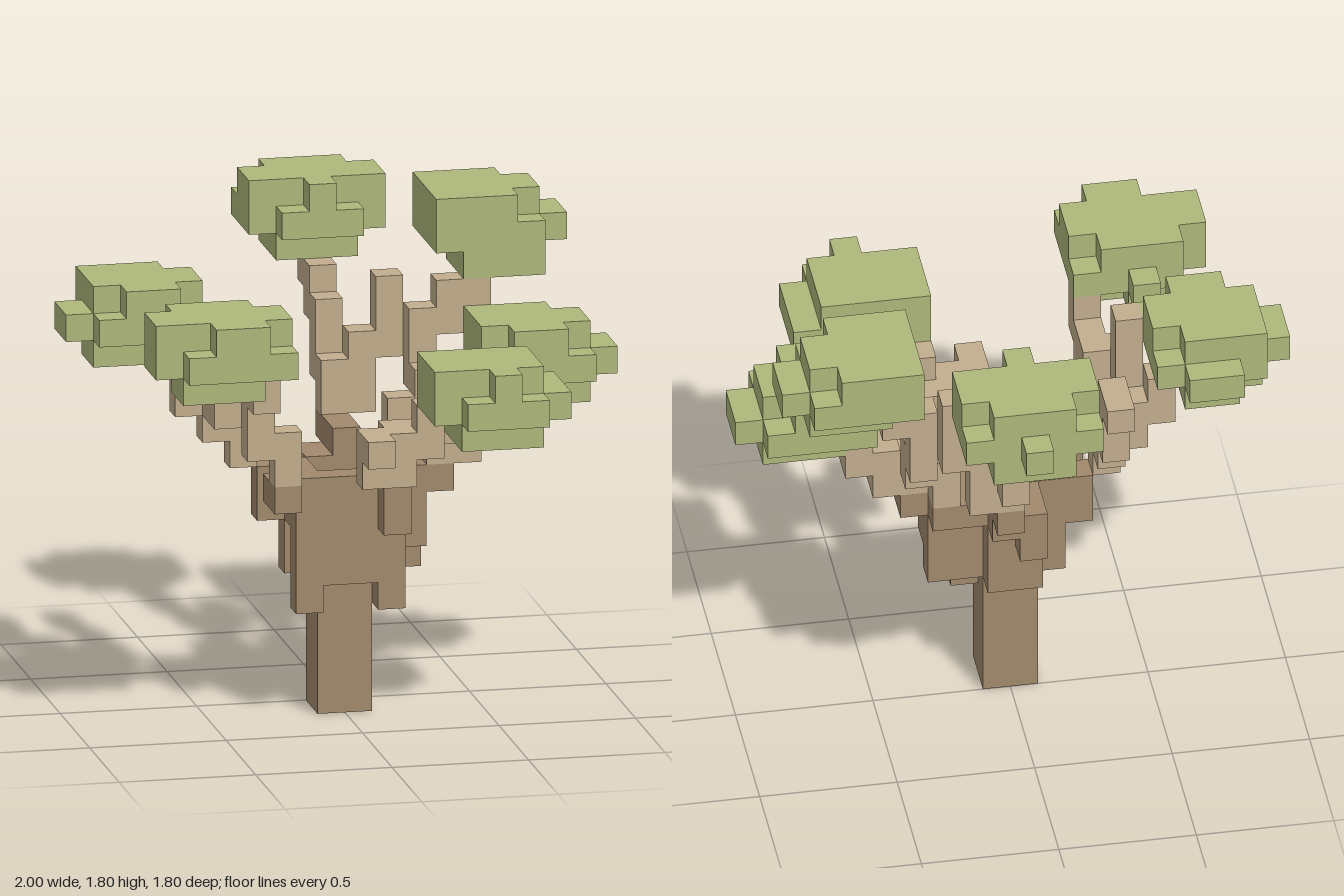
import * as THREE from 'three';

const U = 0.1; // edge length of one block

// Boxes are [x0, x1, y0, y1, z0, z1] in block units
const trunk = [
  [-1, 1, 0, 8, 0, 2],
  [-2, -1, 5, 9, 0, 1], [-2, -1, 7, 9, 1, 2], [-2, -1, 4, 9, 2, 3],
  [-1, 0, 5, 9, 2, 3], [0, 1, 5, 9, 2, 3],
  [1, 2, 4, 9, 1, 3], [1, 2, 5, 9, 0, 1], [2, 3, 5, 9, 0, 1], [2, 3, 6, 9, 1, 2],
  [-1, 1, 5, 9, -1, 0], [1, 3, 8, 9, -1, 0],
  [-1, 0, 7, 9, -2, -1], [0, 1, 8, 9, -2, -1], [0, 1, 9, 10, -3, 0],
  [-3, -2, 7, 9, 0, 1], [-3, -2, 8, 9, 2, 4], [1, 2, 7, 9, 3, 4], [3, 4, 8, 9, 0, 2],
];

const branches = {
  backBranch: [[0, 1, 10, 12, -3, -2], [0, 1, 11, 14, -4, -3], [0, 1, 13, 15, -5, -4], [0, 1, 14, 15, -6, -5]],
  backTwig: [[1, 2, 10, 13, -3, -2], [2, 3, 12, 15, -3, -2]],
  backLeftBranch: [[2, 3, 9, 11, -1, 0], [3, 4, 10, 12, -1, 0], [3, 4, 11, 14, -2, -1], [4, 5, 13, 15, -2, -1], [5, 6, 14, 15, -2, -1]],
  leftBranch: [[3, 4, 9, 10, 0, 2], [4, 5, 9, 11, 0, 2], [5, 6, 10, 12, 0, 2]],
  leftTwig: [[3, 4, 10, 12, 2, 3], [3, 4, 11, 13, 3, 4]],
  frontBranch: [[1, 2, 9, 11, 3, 4], [2, 3, 10, 11, 3, 4], [1, 3, 10, 11, 4, 5], [2, 3, 11, 12, 4, 5]],
  frontTwig: [[0, 1, 9, 11, 4, 5], [1, 2, 9, 10, 4, 5], [0, 1, 10, 11, 5, 6]],
  frontRightBranch: [[-3, -2, 9, 11, 3, 4], [-4, -3, 10, 13, 3, 4], [-4, -3, 12, 14, 4, 5]],
  rightBranch: [[-4, -3, 9, 11, 0, 1], [-5, -4, 10, 12, 0, 1], [-6, -5, 11, 13, 0, 1]],
  rightTwig: [[-5, -4, 11, 15, 1, 2], [-5, -4, 11, 13, 2, 3], [-4, -3, 11, 13, 2, 3]],
  backRightTwig: [[-4, -3, 10, 12, -1, 0], [-4, -3, 11, 14, -2, -1], [-4, -3, 13, 14, -3, -2]],
};

// Each crown: base height, then three layers of [x0, x1, z0, z1]
const crowns = {
  backLeaves: [15,
    [[-1, 2, -8, -5]],
    [[-2, 3, -8, -5], [-1, 2, -5, -4], [0, 1, -9, -8]],
    [[-1, 2, -8, -7], [-2, 3, -7, -5], [0, 1, -5, -4]]],
  backLeftLeaves: [15,
    [[5, 8, -4, -1]],
    [[4, 8, -5, -1], [8, 9, -4, -2]],
    [[4, 7, -5, -4], [4, 8, -4, -2], [4, 7, -2, -1]]],
  leftLeaves: [11,
    [[6, 9, 0, 2]],
    [[5, 9, -1, 3], [9, 10, 0, 2]],
    [[5, 8, -1, 0], [5, 9, 0, 2], [6, 8, 2, 3]]],
  frontLeaves: [11,
    [[3, 6, 5, 8]],
    [[2, 7, 5, 8], [3, 5, 4, 5], [3, 6, 8, 9]],
    [[2, 6, 5, 8], [4, 5, 8, 9]]],
  frontRightLeaves: [13,
    [[-7, -4, 5, 7], [-6, -5, 4, 5]],
    [[-8, -3, 5, 7], [-7, -3, 4, 5], [-7, -3, 7, 8], [-6, -5, 3, 4]],
    [[-8, -3, 5, 7], [-7, -4, 4, 5], [-6, -4, 7, 8]]],
  rightLeaves: [13,
    [[-9, -6, -1, 1], [-8, -6, -2, -1]],
    [[-9, -5, -2, 2], [-10, -9, -1, 1], [-8, -6, -3, -2]],
    [[-9, -6, -2, -1], [-9, -5, -1, 1], [-8, -6, 1, 2]]],
};

const key = (x, y, z) => `${x},${y},${z}`;

// Collect unit blocks of a part, skipping those already taken
function fill(boxes, taken) {
  const cells = [];
  for (const [x0, x1, y0, y1, z0, z1] of boxes)
    for (let x = x0; x < x1; x++)
      for (let y = y0; y < y1; y++)
        for (let z = z0; z < z1; z++) {
          const k = key(x, y, z);
          if (taken.has(k)) continue;
          taken.add(k);
          cells.push([x, y, z]);
        }
  return cells;
}

// Emit only the block faces that touch open air
function blockGeometry(cells, taken) {
  const pos = [], nor = [], idx = [];
  for (const c of cells)
    for (let a = 0; a < 3; a++)
      for (const s of [-1, 1]) {
        const n = [0, 0, 0];
        n[a] = s;
        if (taken.has(key(c[0] + n[0], c[1] + n[1], c[2] + n[2]))) continue;
        const b = (a + 1) % 3, d = (a + 2) % 3, i = pos.length / 3;
        for (const [u, v] of [[0, 0], [1, 0], [1, 1], [0, 1]]) {
          const p = [...c];
          p[a] += s > 0 ? 1 : 0;
          p[b] += u;
          p[d] += v;
          pos.push(p[0] * U, p[1] * U, p[2] * U);
          nor.push(...n);
        }
        if (s > 0) idx.push(i, i + 1, i + 2, i, i + 2, i + 3);
        else idx.push(i, i + 2, i + 1, i, i + 3, i + 2);
      }
  const g = new THREE.BufferGeometry();
  g.setAttribute('position', new THREE.Float32BufferAttribute(pos, 3));
  g.setAttribute('normal', new THREE.Float32BufferAttribute(nor, 3));
  g.setIndex(idx);
  return g;
}

export function createModel() {
  const material = (name, color) => {
    const m = new THREE.MeshStandardMaterial({ color });
    m.name = name;
    return m;
  };
  const darkBark = material('darkBark', 0xa2896d);
  const lightBark = material('lightBark', 0xc3ae8e);
  const foliage = material('foliage', 0xaeb87b);

  const taken = new Set();
  const parts = [];
  const add = (name, boxes, mat) => parts.push({ name, cells: fill(boxes, taken), mat });

  add('trunk', trunk, darkBark);
  for (const [name, boxes] of Object.entries(branches)) add(name, boxes, lightBark);
  for (const [name, [base, ...layers]] of Object.entries(crowns)) {
    const boxes = layers.flatMap((layer, i) =>
      layer.map(([x0, x1, z0, z1]) => [x0, x1, base + i, base + i + 1, z0, z1]));
    add(name, boxes, foliage);
  }

  const tree = new THREE.Group();
  tree.name = 'blockTree';
  for (const { name, cells, mat } of parts) {
    const mesh = new THREE.Mesh(blockGeometry(cells, taken), mat);
    mesh.name = name;
    tree.add(mesh);
  }
  return tree;
}
